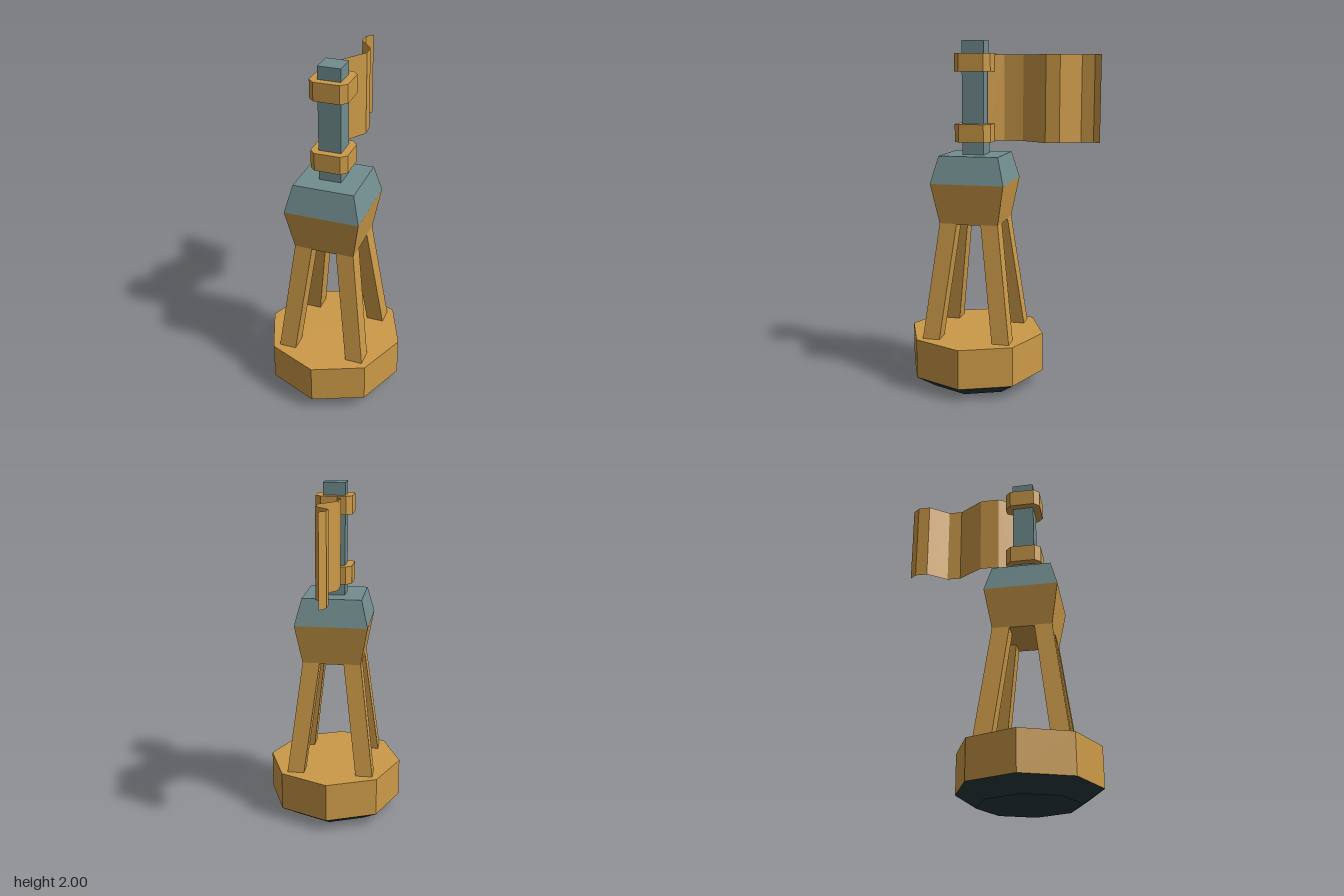
import * as THREE from 'three';

const flat = (color, name, side = THREE.FrontSide) => {
  const m = new THREE.MeshStandardMaterial({ color, side, flatShading: true });
  m.name = name;
  return m;
};

export function createModel() {
  const amber = flat(0xcc9a48, 'amber paint', THREE.DoubleSide);
  const slate = flat(0x728e90, 'slate metal');
  const dark = flat(0x2b3a3c, 'dark hull');

  const buoy = new THREE.Group();
  buoy.name = 'buoy';
  const tower = new THREE.Group();
  tower.name = 'tower';
  tower.position.z = 0.157;
  buoy.add(tower);

  const add = (parent, name, geometry, material) => {
    const mesh = new THREE.Mesh(geometry, material);
    mesh.name = name;
    parent.add(mesh);
    return mesh;
  };

  // tapered prism between two heights
  const prism = (rBottom, rTop, y0, y1, sides) =>
    new THREE.CylinderGeometry(rTop, rBottom, y1 - y0, sides).translate(0, (y0 + y1) / 2, 0);
  // tapered square block given by half widths
  const block = (h0, h1, y0, y1) =>
    prism(h0 * Math.SQRT2, h1 * Math.SQRT2, y0, y1, 4).rotateY(Math.PI / 4);

  // octagonal float and its hull
  add(tower, 'hull', prism(0.285, 0.402, 0, 0.075, 8), dark);
  add(tower, 'float', prism(0.402, 0.402, 0.075, 0.305, 8), amber);

  // four square legs leaning inwards
  const legBottom = 0.3, legTop = 0.98;
  for (const sx of [-1, 1]) for (const sz of [-1, 1]) {
    const g = new THREE.BoxGeometry(0.1, legTop - legBottom, 0.1);
    const p = g.attributes.position;
    for (let i = 0; i < p.count; i++) {
      const centre = p.getY(i) > 0 ? 0.12 : 0.206;
      p.setX(i, p.getX(i) + sx * centre);
      p.setZ(i, p.getZ(i) + sz * centre);
    }
    g.translate(0, (legBottom + legTop) / 2, 0);
    g.computeVertexNormals();
    add(tower, 'leg', g, amber);
  }

  // head and cap
  add(tower, 'head', block(0.17, 0.212, 0.97, 1.205), amber);
  add(tower, 'cap', block(0.212, 0.172, 1.205, 1.36), slate);

  // mast
  add(tower, 'mast', block(0.063, 0.063, 1.36, 2), slate);

  // two collars with cut corners
  const a = 0.105, b = 0.072;
  const outline = new THREE.Shape(
    [[a, -b], [a, b], [b, a], [-b, a], [-a, b], [-a, -b], [-b, -a], [b, -a]]
      .map(([x, y]) => new THREE.Vector2(x, y)));
  for (const y of [1.432, 1.827]) {
    const g = new THREE.ExtrudeGeometry(outline, { depth: 0.102, bevelEnabled: false });
    add(tower, 'collar', g.rotateX(-Math.PI / 2).translate(0, y, 0), amber);
  }

  // waving flag: z and x of each fold
  const folds = [[0.088, 0], [0, -0.05], [-0.11, -0.05], [-0.19, 0], [-0.257, 0.045],
    [-0.336, 0.04], [-0.445, -0.045], [-0.516, -0.045], [-0.556, -0.012]];
  const flag = new THREE.PlaneGeometry(1, 0.487, folds.length - 1, 1);
  const fp = flag.attributes.position;
  for (let i = 0; i < fp.count; i++) {
    const [z, x] = folds[i % folds.length];
    fp.setXYZ(i, x, fp.getY(i) + 1.678, z);
  }
  flag.computeVertexNormals();
  add(buoy, 'flag', flag, amber);

  return buoy;
}
